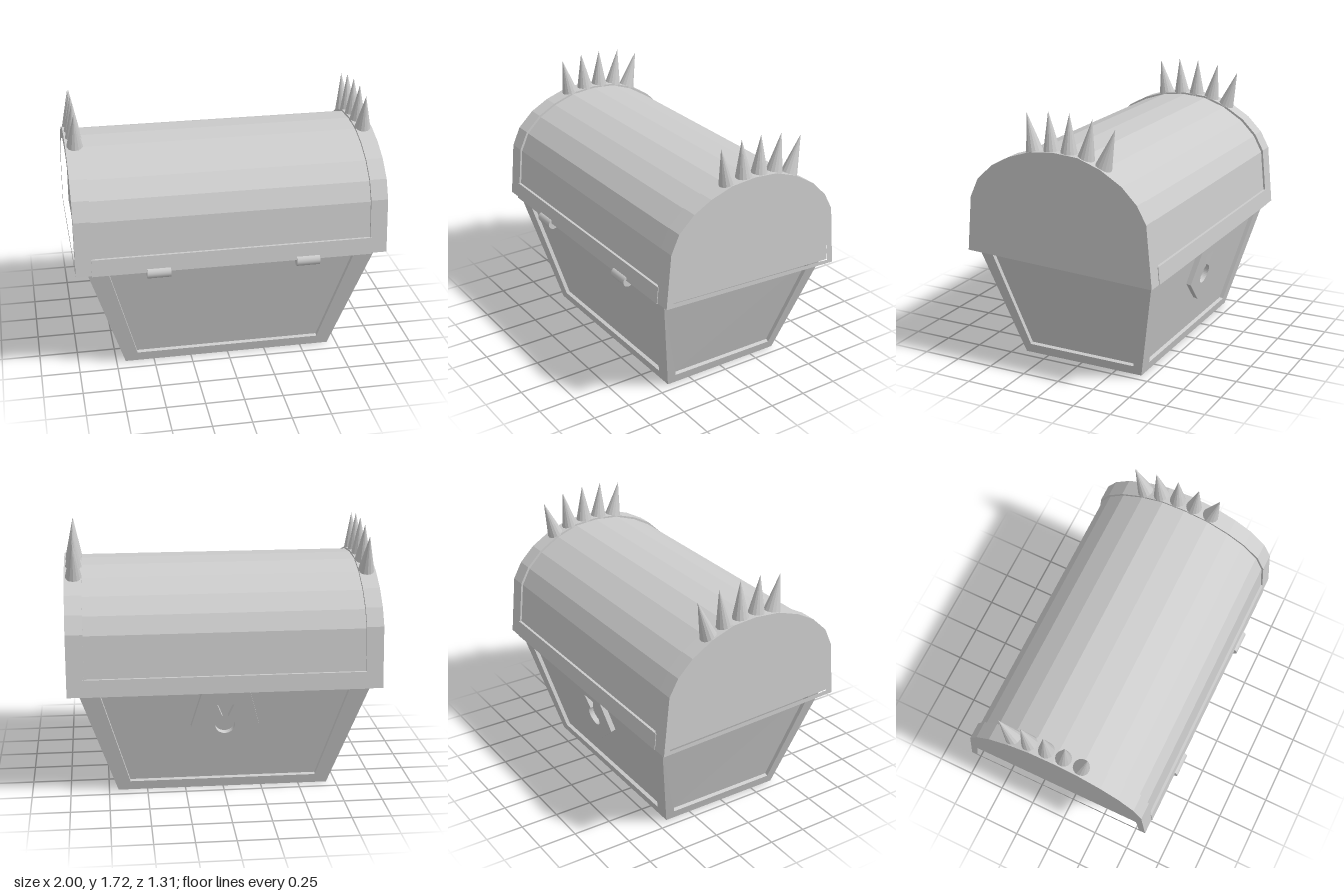
import * as THREE from 'three';

const material = new THREE.MeshStandardMaterial({ color: 0xcccccc });
const flat = new THREE.MeshStandardMaterial({ color: 0xcccccc, flatShading: true });

// Lid outlines as [z, y], from the front foot over the crown to the back foot
const RIM = [[0.632, 0.775], [0.6, 1.13], [0.545, 1.25], [0.44, 1.35], [0.32, 1.415], [0.17, 1.465], [0, 1.48],
  [-0.16, 1.468], [-0.31, 1.415], [-0.45, 1.33], [-0.55, 1.23], [-0.61, 1.12], [-0.648, 0.725]];
const PANEL = [[0.585, 0.802], [0.553, 1.08], [0.5, 1.2], [0.41, 1.285], [0.29, 1.35], [0.15, 1.392], [0, 1.403],
  [-0.15, 1.392], [-0.29, 1.345], [-0.42, 1.27], [-0.51, 1.18], [-0.56, 1.07], [-0.605, 0.752]];

// Extrude a [z, y] outline along x, centred on x
function extrudeAlongX(points, x, width, hole) {
  const toVec = ([z, y]) => new THREE.Vector2(-z, y);
  const shape = new THREE.Shape(points.map(toVec));
  if (hole) shape.holes.push(new THREE.Path(hole.map(toVec)));
  return new THREE.ExtrudeGeometry(shape, { depth: width, bevelEnabled: false })
    .translate(0, 0, -width / 2).rotateY(Math.PI / 2).translate(x, 0, 0);
}

// A wall with a border frame around a recessed panel; corners run BL, BR, TR, TL
function framedWall(corners, depth) {
  const [bl, br, tr, tl] = corners;
  const at = (u, v) => bl.clone().lerp(br, u).lerp(tl.clone().lerp(tr, u), v);
  const inner = [at(0.07, 0.085), at(0.93, 0.085), at(0.93, 0.985), at(0.07, 0.985)];
  const normal = br.clone().sub(bl).cross(tl.clone().sub(bl)).normalize();
  const sunk = inner.map(p => p.clone().addScaledVector(normal, -depth));
  const quads = [sunk];
  for (let k = 0; k < 4; k++) {
    const n = (k + 1) % 4;
    quads.push([corners[k], corners[n], inner[n], inner[k]], [inner[k], inner[n], sunk[n], sunk[k]]);
  }
  return quadGeometry(quads);
}

function quadGeometry(quads) {
  const points = quads.flatMap(([a, b, c, d]) => [a, b, c, a, c, d]);
  const geometry = new THREE.BufferGeometry().setFromPoints(points);
  geometry.computeVertexNormals();
  return geometry;
}

export function createModel() {
  const model = new THREE.Group();
  model.name = 'chest';
  const add = (name, geometry, mat = material, parent = model) => {
    const mesh = new THREE.Mesh(geometry, mat);
    mesh.name = name;
    parent.add(mesh);
    return mesh;
  };

  // Tapered body: four framed walls, floor and closed top
  const V = (x, y, z) => new THREE.Vector3(x, y, z);
  const low = [V(-0.69, 0, 0.415), V(0.69, 0, 0.415), V(0.69, 0, -0.43), V(-0.69, 0, -0.43)];
  const high = [V(-0.93, 0.785, 0.605), V(0.93, 0.785, 0.605), V(0.93, 0.74, -0.615), V(-0.93, 0.74, -0.615)];
  const body = new THREE.Group();
  body.name = 'body';
  model.add(body);
  ['frontWall', 'leftWall', 'backWall', 'rightWall'].forEach((name, k) => {
    const n = (k + 1) % 4;
    add(name, framedWall([low[k], low[n], high[n], high[k]], 0.025), material, body);
  });
  add('floor', quadGeometry([[...low].reverse()]), material, body);
  add('bodyTop', quadGeometry([high]), material, body);

  // Barrel lid, a little smaller than the rims at its ends
  const lid = new THREE.Group();
  lid.name = 'lid';
  model.add(lid);
  const core = RIM.map(([z, y]) => [z * 0.98, y < 0.8 ? y + 0.005 : y - 0.012]);
  add('lidBarrel', extrudeAlongX(core, 0, 1.92), material, lid);
  for (const side of [-1, 1]) {
    add(side > 0 ? 'leftRim' : 'rightRim', extrudeAlongX(RIM, side * 0.945, 0.11, PANEL), material, lid);
  }

  // Rails along the lower edges of the lid
  add('frontRail', extrudeAlongX([[0.637, 0.77], [0.627, 0.88], [0.57, 0.88], [0.57, 0.77]], 0, 1.8), material, lid);
  add('backRail', extrudeAlongX([[-0.652, 0.725], [-0.642, 0.835], [-0.58, 0.835], [-0.58, 0.728]], 0, 1.8), material, lid);

  // Rows of spikes over both rims: base z, base y, tip z, tip y
  const spikes = [[0.165, 1.455, 0.215, 1.69], [0.045, 1.465, 0.067, 1.715], [-0.07, 1.465, -0.077, 1.715],
    [-0.185, 1.45, -0.23, 1.695], [-0.3, 1.41, -0.38, 1.65]];
  for (const side of [-1, 1]) {
    for (const [z, y, tipZ, tipY] of spikes) {
      const axis = V(0, tipY - y, tipZ - z);
      const height = axis.length();
      const cone = new THREE.ConeGeometry(0.054, height, 14).translate(0, height / 2, 0);
      const spike = add('spike', cone, flat, lid);
      spike.position.set(side * 0.94, y, z);
      spike.quaternion.setFromUnitVectors(V(0, 1, 0), axis.normalize());
    }
  }

  // Hinge barrels at the front seam
  for (const x of [-0.48, 0.48]) {
    const hinge = add('hinge', new THREE.CylinderGeometry(0.036, 0.036, 0.15, 20).rotateZ(Math.PI / 2));
    hinge.position.set(x, 0.76, 0.621);
  }

  // Lock plate with keyhole, lying on the sloped back wall
  const plate = new THREE.Shape([[-0.15, 0.755], [-0.22, 0.485], [0, 0.3], [0.22, 0.485], [0.15, 0.755]]
    .map(([x, y]) => new THREE.Vector2(x, y)));
  const keyhole = new THREE.Path();
  keyhole.absarc(0, 0.495, 0.064, 1.28, 1.86, true);
  keyhole.lineTo(-0.055, 0.65);
  keyhole.lineTo(0.055, 0.65);
  keyhole.closePath();
  plate.holes.push(keyhole);
  const lock = new THREE.ExtrudeGeometry(plate, { depth: 0.038, bevelEnabled: false, curveSegments: 16 })
    .translate(0, 0, -0.03).rotateY(Math.PI).rotateX(-Math.atan2(0.185, 0.74)).translate(0, 0, -0.43);
  add('lockPlate', lock);

  return model;
}
